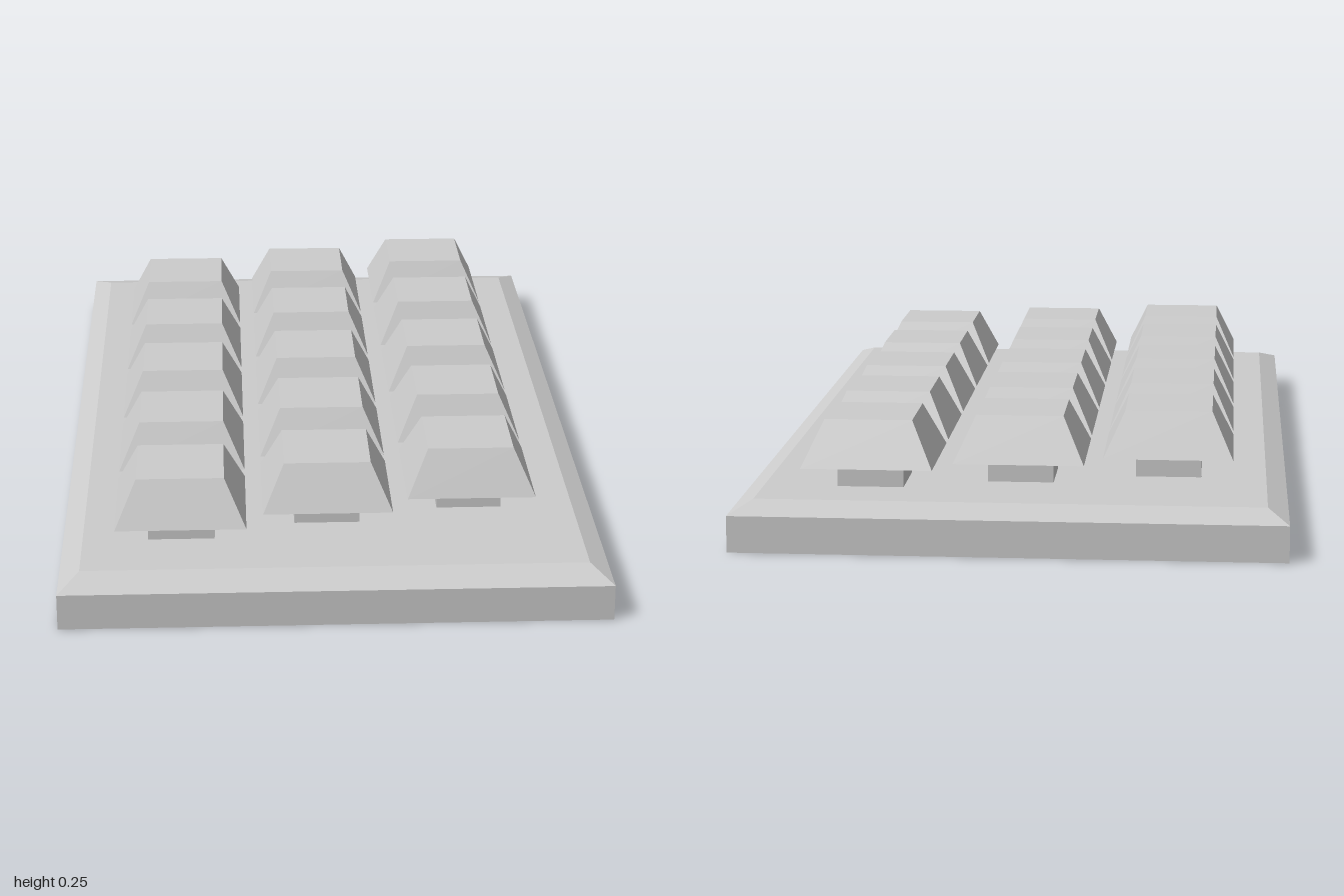
import * as THREE from 'three';

const material = new THREE.MeshStandardMaterial({ color: 0xcccccc, flatShading: true });

// Box from y = 0 to height whose top face is shrunk; the taper starts at shoulder.
function taperedBox(width, height, depth, topWidth, topDepth, shoulder = 0) {
  const box = new THREE.BoxGeometry(width, height, depth, 1, shoulder > 0 ? 2 : 1, 1);
  box.translate(0, height / 2, 0);
  const p = box.attributes.position;
  for (let i = 0; i < p.count; i++) {
    const y = p.getY(i);
    if (y > height - 1e-4) {
      p.setX(i, Math.sign(p.getX(i)) * topWidth / 2);
      p.setZ(i, Math.sign(p.getZ(i)) * topDepth / 2);
    } else if (y > 1e-4) {
      p.setY(i, shoulder);
    }
  }
  const flat = box.toNonIndexed();
  flat.computeVertexNormals();
  return flat;
}

function addPart(parent, name, geometry, y = 0) {
  const mesh = new THREE.Mesh(geometry, material);
  mesh.name = name;
  mesh.position.y = y;
  parent.add(mesh);
}

export function createModel() {
  const model = new THREE.Group();
  model.name = 'keypad';

  // Base plate with a shallow bevel round its top
  addPart(model, 'basePlate', taperedBox(1.18, 0.1, 2, 1.09, 1.852, 0.079));

  // Three staggered columns of five keys, each a cap on a square stem
  const capGeometry = taperedBox(0.284, 0.1, 0.284, 0.19, 0.188);
  const stemGeometry = taperedBox(0.144, 0.053, 0.144, 0.144, 0.144);
  const columns = [
    { name: 'rightColumn', x: -0.33, z: -0.582 },
    { name: 'middleColumn', x: -0.009, z: -0.656 },
    { name: 'leftColumn', x: 0.312, z: -0.725 },
  ];
  const pitch = 0.321;
  for (const { name, x, z } of columns) {
    const column = new THREE.Group();
    column.name = name;
    for (let row = 0; row < 5; row++) {
      const key = new THREE.Group();
      key.name = 'key';
      key.position.set(x, 0, z + row * pitch);
      addPart(key, 'keyStem', stemGeometry, 0.1);
      addPart(key, 'keyCap', capGeometry, 0.153);
      column.add(key);
    }
    model.add(column);
  }
  return model;
}
